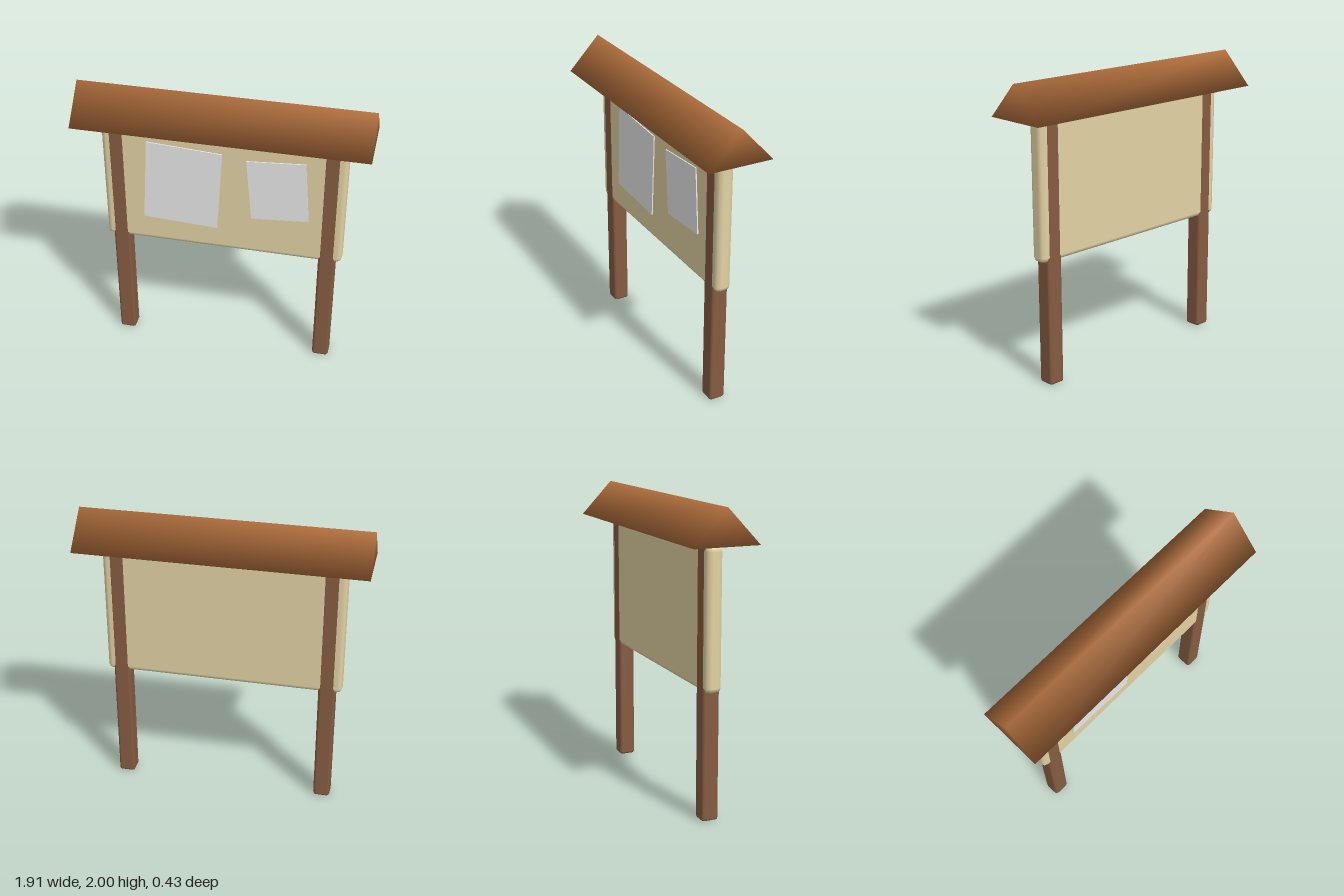
import * as THREE from 'three';
import { RoundedBoxGeometry } from 'three/addons/geometries/RoundedBoxGeometry.js';

function material(name, color) {
  const m = new THREE.MeshStandardMaterial({ color });
  m.name = name;
  return m;
}

export function createModel() {
  const group = new THREE.Group();
  group.name = 'noticeBoard';
  const roofWood = material('roofWood', 0xb06e3c);
  const postWood = material('postWood', 0x865c42);
  const boardTan = material('boardTan', 0xe2d2a4);
  const paperWhite = material('paperWhite', 0xe8e8e8);

  function add(name, geometry, mat, x = 0, y = 0, z = 0) {
    const mesh = new THREE.Mesh(geometry, mat);
    mesh.name = name;
    mesh.position.set(x, y, z);
    group.add(mesh);
    return mesh;
  }

  // Two square posts with bevelled edges
  for (const side of [-1, 1]) {
    add(side > 0 ? 'leftPost' : 'rightPost',
      new RoundedBoxGeometry(0.113, 1.766, 0.112, 1, 0.018), postWood, side * 0.706, 0.883 + 0.004, 0);
  }

  // Board running through the posts
  add('board', new RoundedBoxGeometry(1.612, 0.91, 0.108, 1, 0.035), boardTan, 0, 1.3, 0);

  // Gabled roof: a prism with shared corners for soft shading
  const w = 0.955, d = 0.217, low = 1.77, high = 2;
  const roof = new THREE.BufferGeometry();
  roof.setAttribute('position', new THREE.Float32BufferAttribute([
    -w, low, d, -w, low, -d, -w, high, 0,
    w, low, d, w, low, -d, w, high, 0,
  ], 3));
  roof.setIndex([
    0, 3, 5, 0, 5, 2, // front slope
    4, 1, 2, 4, 2, 5, // back slope
    0, 1, 4, 0, 4, 3, // underside
    1, 0, 2, 3, 4, 5, // gable ends
  ]);
  roof.computeVertexNormals();
  add('roof', roof, roofWood);

  // Two tilted notices pinned to the front
  const notices = {
    largeNotice: [[-0.535, 1.045], [-0.035, 1.02], [0, 1.605], [-0.5, 1.635]],
    smallNotice: [[0.195, 1.135], [0.575, 1.165], [0.54, 1.605], [0.157, 1.577]],
  };
  for (const [name, corners] of Object.entries(notices)) {
    const shape = new THREE.Shape(corners.map(([x, y]) => new THREE.Vector2(x, y)));
    add(name, new THREE.ExtrudeGeometry(shape, { depth: 0.008, bevelEnabled: false }), paperWhite, 0, 0, 0.056);
  }

  return group;
}
